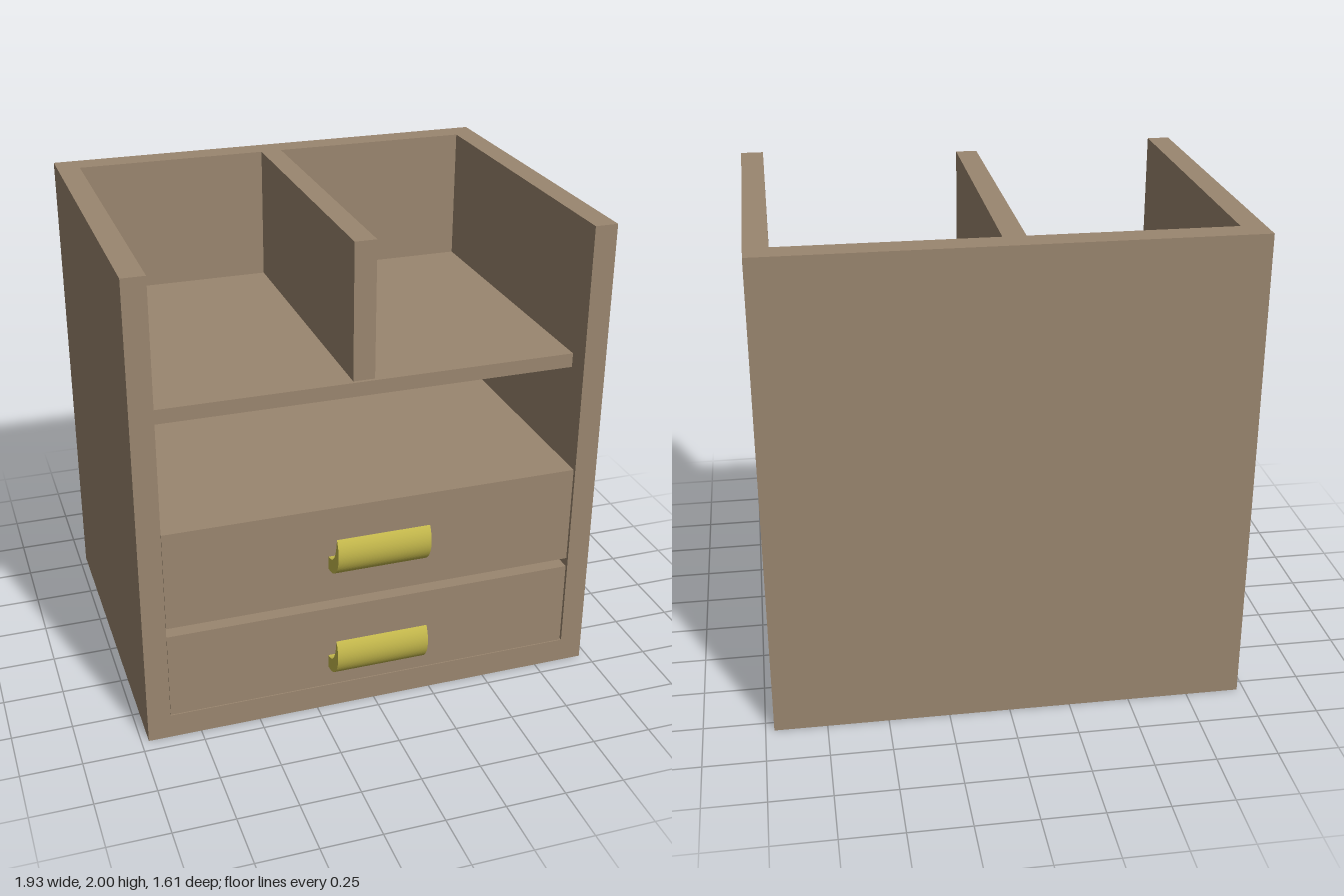
import * as THREE from 'three';

export function createModel() {
  const group = new THREE.Group();
  const wood = new THREE.MeshStandardMaterial({ color: 0x9a866f });
  const brass = new THREE.MeshStandardMaterial({ color: 0xc4b84c });

  // Box given by its extents on each axis
  function panel(name, [x0, x1], [y0, y1], [z0, z1]) {
    const geo = new THREE.BoxGeometry(x1 - x0, y1 - y0, z1 - z0);
    geo.translate((x0 + x1) / 2, (y0 + y1) / 2, (z0 + z1) / 2);
    const mesh = new THREE.Mesh(geo, wood);
    mesh.name = name;
    group.add(mesh);
  }

  // Carcass
  const inner = [-0.875, 0.87];
  panel('rightWall', [-0.97, -0.875], [0, 2], [-0.805, 0.69]);
  panel('leftWall', [0.87, 0.965], [0, 2], [-0.805, 0.69]);
  panel('backWall', inner, [0, 2], [-0.805, -0.695]);
  panel('basePanel', inner, [0, 0.105], [-0.695, 0.69]);

  // Open compartments at the top
  panel('shelf', inner, [1.37, 1.43], [-0.695, 0.59]);
  panel('divider', [-0.065, 0.025], [1.43, 2], [-0.695, 0.575]);

  // Crescent pull, drawn as depth against height and extruded sideways
  const crescent = new THREE.Shape();
  crescent.moveTo(0.68, -0.12);
  crescent.lineTo(0.69, -0.12);
  crescent.absarc(0.69, 0, 0.12, -Math.PI / 2, 0.63, false);
  crescent.bezierCurveTo(0.778, -0.02, 0.738, -0.063, 0.69, -0.063);
  crescent.lineTo(0.68, -0.063);
  crescent.closePath();
  const pull = new THREE.ExtrudeGeometry(crescent, { depth: 0.39, bevelEnabled: false, curveSegments: 24 });
  pull.rotateY(-Math.PI / 2);
  pull.translate(0.19, 0, 0);

  // Two drawers with their pulls
  [['lower', 0.105, 0.48, 0.315], ['upper', 0.52, 0.945, 0.79]].forEach(([label, bottom, top, pullY]) => {
    panel(label + 'Drawer', [-0.873, 0.865], [bottom, top], [-0.695, 0.685]);
    const handle = new THREE.Mesh(pull, brass);
    handle.name = label + 'Handle';
    handle.position.y = pullY;
    group.add(handle);
  });

  return group;
}
